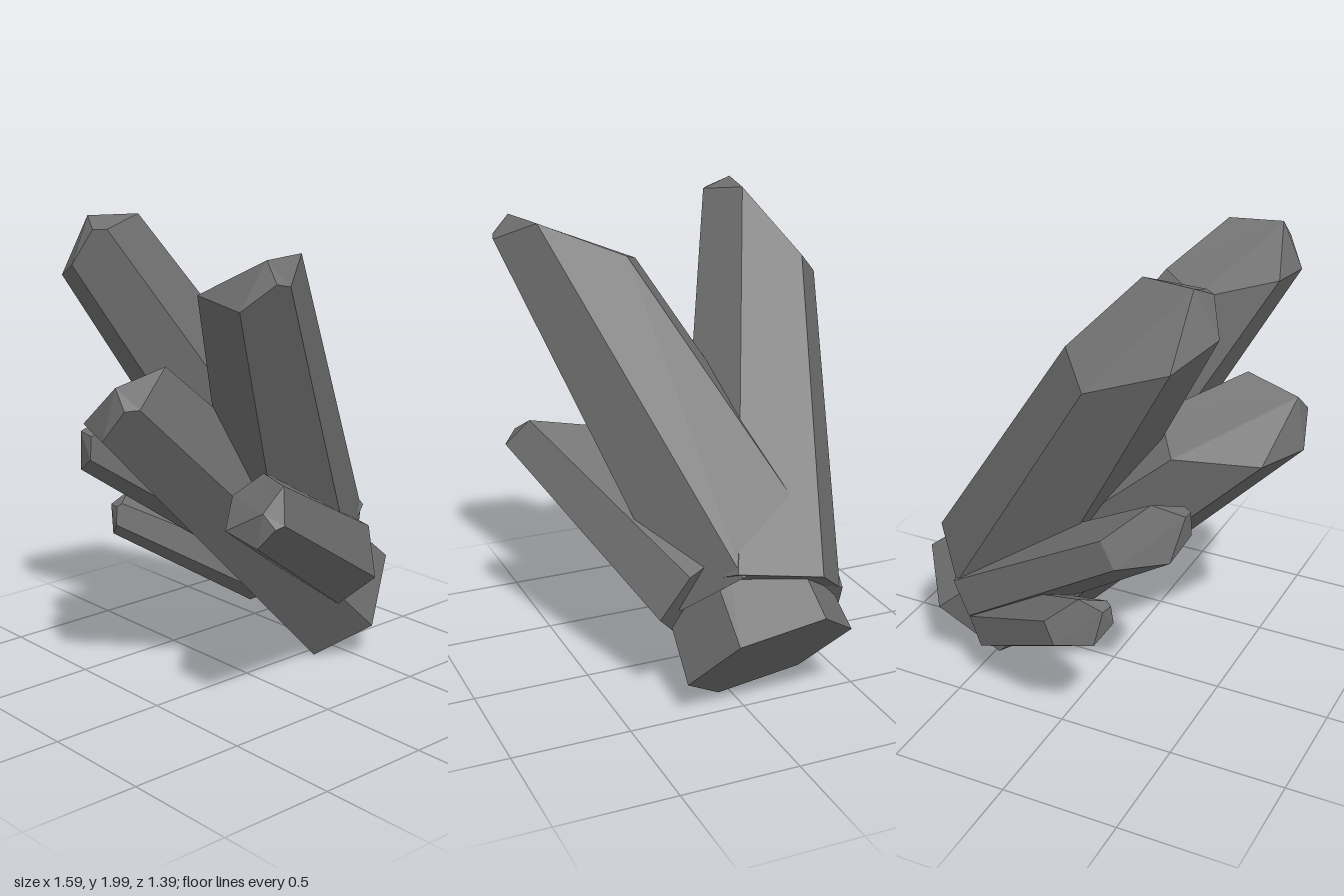
import * as THREE from 'three';

// Uneven hexagonal section: [angle in degrees, radius, height at which the edge meets the tip]
const RING = [
  [0, 0.87, 0.928], [65, 1, 0.763], [116, 1, 0.767],
  [180, 0.87, 0.903], [245, 1, 0.939], [296, 1, 0.963],
];

const point = (deg, r, h) => {
  const a = THREE.MathUtils.degToRad(deg);
  return new THREE.Vector3(r * Math.cos(a), h, -r * Math.sin(a));
};

// Unit crystal along +y: tapered sides, a flat base and a tip cut by three slanted facets
function crystalGeometry(taper) {
  const base = RING.map(([a, r]) => point(a, r, 0));
  const top = RING.map(([a, r, h]) => point(a, r * (1 - taper * h), h));
  const apex = point(295, 0.34, 1);
  // Extra corner on the side between the last two edges
  const notch = base[4].clone().lerp(base[5], 0.76).multiplyScalar(1 - taper * 0.98).setY(0.98);

  const faces = [[...base].reverse()];
  for (let i = 0; i < 6; i++) {
    const j = (i + 1) % 6;
    const side = [base[i], base[j], top[j]];
    if (i === 4) side.push(notch);
    faces.push([...side, top[i]]);
  }
  faces.push([apex, top[0], top[1], top[2], top[3]]);
  faces.push([apex, top[3], top[4], notch]);
  faces.push([apex, notch, top[5], top[0]]);

  // Fan each polygon into triangles
  const corners = [];
  for (const f of faces) {
    for (let k = 1; k < f.length - 1; k++) corners.push(f[0], f[k], f[k + 1]);
  }
  const geometry = new THREE.BufferGeometry().setFromPoints(corners);
  geometry.computeVertexNormals();
  return geometry;
}

// from: base centre, to: end of axis, edge: direction of the first side edge
const CRYSTALS = [
  { name: 'coreCrystal', from: [0.575, 0.255, -0.08], to: [-0.73, 1.445, -0.012], radius: 0.352, taper: 0.34, edge: [0.15, 0.165, 0.21] },
  { name: 'tallFrontCrystal', from: [0.375, 0.57, -0.086], to: [-0.474, 1.967, 0.517], radius: 0.35, taper: 0.36, edge: [0.168, 0.06, 0.107] },
  { name: 'tallBackCrystal', from: [0.445, 0.514, -0.088], to: [-0.469, 1.989, -0.492], radius: 0.335, taper: 0.33, edge: [0.122, 0.107, 0.123] },
  { name: 'lowFrontCrystal', from: [0.377, 0.513, 0.133], to: [-0.505, 1.015, 0.56], radius: 0.23, taper: 0.31, edge: [0.554, 0.623, 0.549] },
  { name: 'lowBackCrystal', from: [0.47, 0.42, -0.26], to: [-0.52, 1.08, -0.51], radius: 0.19, taper: 0.31, edge: [0.45, 0.76, 0.15] },
  { name: 'smallBackCrystal', from: [0.38, 0.3, -0.31], to: [-0.24, 0.665, -0.66], radius: 0.16, taper: 0.31, edge: [0.45, 0.76, 0.15] },
];

export function createModel() {
  const group = new THREE.Group();
  group.name = 'crystalCluster';
  const material = new THREE.MeshStandardMaterial({ color: 0x707070, flatShading: true });

  for (const { name, from, to, radius, taper, edge } of CRYSTALS) {
    const start = new THREE.Vector3(...from);
    const axis = new THREE.Vector3(...to).sub(start);
    const length = axis.length();
    axis.normalize();
    const x = new THREE.Vector3(...edge).projectOnPlane(axis).normalize();
    const z = x.clone().cross(axis);

    const mesh = new THREE.Mesh(crystalGeometry(taper), material);
    mesh.name = name;
    mesh.position.copy(start);
    mesh.quaternion.setFromRotationMatrix(new THREE.Matrix4().makeBasis(x, axis, z));
    mesh.scale.set(radius, length, radius);
    group.add(mesh);
  }
  return group;
}
